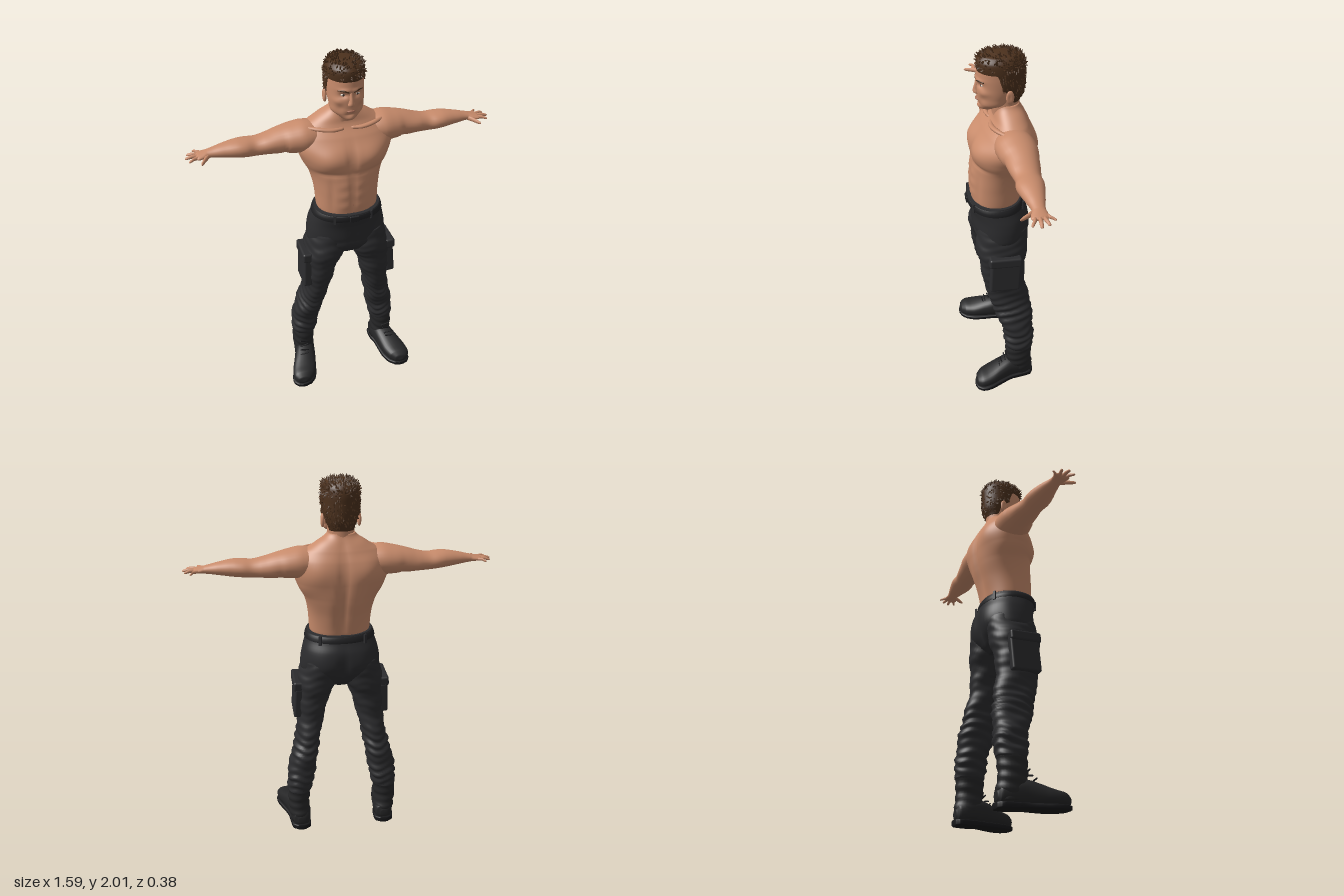
import * as THREE from 'three';
import { mergeGeometries } from 'three/addons/utils/BufferGeometryUtils.js';
import { RoundedBoxGeometry } from 'three/addons/geometries/RoundedBoxGeometry.js';

const mat = (name, color) => Object.assign(new THREE.MeshStandardMaterial({ color }), { name });

// Smooth interpolation through a list of equal-length number rows
function spline(rows, t) {
  const i = Math.min(Math.floor(t), rows.length - 2), f = t - i;
  const at = k => rows[Math.max(0, Math.min(rows.length - 1, k))];
  const [a, b, c, d] = [at(i - 1), at(i), at(i + 1), at(i + 2)];
  return b.map((v, k) => k === 0 ? v + (c[0] - v) * f : 0.5 * (2 * v + (c[k] - a[k]) * f
    + (2 * a[k] - 5 * v + 4 * c[k] - d[k]) * f * f + (3 * v - a[k] - 3 * c[k] + d[k]) * f * f * f));
}

// Loft of superellipse sections along an axis. Rows: [t, centreU, centreV, radiusU, radiusV]
// Axis y uses (u,v) = (x,z), axis x uses (z,y), axis z uses (y,x)
function loft(axis, rows, { seg = 24, sub = 5, n = 2 } = {}) {
  const put = { y: (t, u, v) => [u, t, v], x: (t, u, v) => [t, v, u], z: (t, u, v) => [v, u, t] }[axis];
  const pos = [], idx = [], count = (rows.length - 1) * sub;
  const pw = v => Math.sign(v) * Math.abs(v) ** (2 / n);
  for (let r = 0; r <= count; r++) {
    const [t, cu, cv, ru, rv] = spline(rows, r / sub);
    for (let j = 0; j < seg; j++) {
      const a = j / seg * Math.PI * 2;
      pos.push(...put(t, cu + Math.max(ru, 0.0005) * pw(Math.cos(a)), cv + Math.max(rv, 0.0005) * pw(Math.sin(a))));
    }
  }
  for (let r = 0; r < count; r++) for (let j = 0; j < seg; j++) {
    const k = (j + 1) % seg, a = r * seg + j, b = r * seg + k;
    idx.push(a, a + seg, b, b, a + seg, b + seg);
  }
  const c0 = pos.length / 3, last = rows[rows.length - 1], top = count * seg;
  pos.push(...put(...rows[0].slice(0, 3)), ...put(...last.slice(0, 3)));
  for (let j = 0; j < seg; j++) {
    const k = (j + 1) % seg;
    idx.push(c0, j, k, c0 + 1, top + k, top + j);
  }
  const g = new THREE.BufferGeometry();
  g.setAttribute('position', new THREE.Float32BufferAttribute(pos, 3));
  g.setIndex(idx);
  g.computeVertexNormals();
  return g;
}

// Push vertices along their normals by amount(x, y, z)
function sculpt(g, amount) {
  const p = g.attributes.position, m = g.attributes.normal;
  for (let i = 0; i < p.count; i++) {
    const d = amount(p.getX(i), p.getY(i), p.getZ(i));
    p.setXYZ(i, p.getX(i) + m.getX(i) * d, p.getY(i) + m.getY(i) * d, p.getZ(i) + m.getZ(i) * d);
  }
  g.computeVertexNormals();
  return g;
}
// Symmetric soft bumps: [x, y, z, rx, ry, rz, height]
const bumps = list => (x, y, z) => list.reduce((s, [a, b, c, ra, rb, rc, h]) =>
  s + h * Math.exp(-(((Math.abs(x) - a) / ra) ** 2) - ((y - b) / rb) ** 2 - ((z - c) / rc) ** 2), 0);

function mirrored(g) {
  const m = g.clone(), ix = m.index.array;
  for (let i = 0; i < ix.length; i += 3) [ix[i], ix[i + 1]] = [ix[i + 1], ix[i]];
  return m.scale(-1, 1, 1);
}
const ball = (x, y, z, rx, ry, rz) => new THREE.SphereGeometry(1, 20, 14).scale(rx, ry, rz).translate(x, y, z);

export function createModel() {
  const group = new THREE.Group();
  const skin = mat('skin', 0xc98c6c), hair = mat('hair', 0x4c311d), cloth = mat('trouserCloth', 0x2c2c2e),
    boot = mat('bootLeather', 0x262627), sole = mat('soleRubber', 0x18181a), belt = mat('belt', 0x222224),
    lip = mat('lips', 0xb0735c), white = mat('eyeWhite', 0xcfc4b8), dark = mat('iris', 0x2e2018);
  const add = (name, g, m) => {
    const mesh = new THREE.Mesh(g, m);
    mesh.name = name;
    group.add(mesh);
  };
  const pair = (name, g, m) => { add(name + 'Left', g, m); add(name + 'Right', mirrored(g), m); };

  // Torso with chest, abdomen and back muscles
  add('torso', sculpt(loft('y', [
    [1.16, 0, .01, .155, .125], [1.2, 0, .01, .163, .132], [1.3, 0, 0, .17, .143], [1.4, 0, -.02, .19, .155],
    [1.48, 0, -.027, .228, .16], [1.54, 0, -.035, .25, .15], [1.6, 0, -.05, .24, .122],
    [1.65, 0, -.06, .185, .09], [1.69, 0, -.055, .11, .072], [1.73, 0, -.05, .07, .06]],
  { seg: 72, sub: 8, n: 2.2 }), bumps([
    [.1, 1.5, .1, .075, .05, .08, .018], [.1, 1.425, .12, .09, .014, .08, -.008], [0, 1.5, .14, .014, .1, .06, -.01],
    [0, 1.3, .14, .01, .1, .05, -.006], [.045, 1.36, .14, .03, .022, .05, .004], [.045, 1.3, .14, .03, .022, .05, .004],
    [.045, 1.24, .14, .03, .022, .05, .004], [.105, 1.3, .1, .014, .1, .06, -.005],
    [0, 1.42, -.17, .022, .2, .09, -.02], [.12, 1.55, -.16, .07, .07, .07, .014], [.06, 1.3, -.14, .04, .12, .06, .006],
    [.2, 1.45, -.08, .05, .07, .08, .008], [.08, 1.675, -.07, .06, .03, .06, .012]])), skin);
  add('navel', ball(0, 1.245, .136, .005, .008, .004), lip);
  add('neck', sculpt(loft('y', [[1.62, 0, -.06, .085, .08], [1.68, 0, -.05, .073, .073], [1.72, 0, -.043, .069, .07],
    [1.82, 0, -.05, .068, .07]], { seg: 32 }), bumps([[.03, 1.68, .02, .012, .05, .04, .005], [0, 1.715, .03, .012, .012, .03, .006]])), skin);
  pair('collarbone', loft('x', [[.02, .035, 1.635, .008, .008], [.08, .04, 1.637, .014, .01], [.15, .02, 1.643, .014, .01],
    [.22, -.02, 1.645, .008, .006]], { seg: 10 }), skin);

  // Arms: shoulder, upper arm, forearm, palm
  pair('arm', sculpt(loft('x', [
    [.1, -.05, 1.58, .08, .065], [.2, -.05, 1.583, .1, .08], [.27, -.055, 1.58, .095, .073], [.33, -.058, 1.575, .08, .064],
    [.4, -.057, 1.567, .067, .052], [.45, -.055, 1.563, .062, .047], [.5, -.052, 1.566, .066, .046], [.55, -.05, 1.568, .059, .043],
    [.62, -.048, 1.567, .044, .032], [.68, -.046, 1.564, .031, .021], [.705, -.042, 1.562, .037, .016],
    [.735, -.04, 1.56, .041, .012], [.745, -.04, 1.56, .03, .006]], { seg: 28 }),
  (x, y, z) => bumps([[.38, 1.58, .0, .05, .03, .03, .008], [.38, 1.55, -.12, .06, .03, .04, .006],
    [.31, 1.54, -.02, .012, .06, .12, -.006], [.46, 1.57, -.01, .03, .03, .03, -.004], [.53, 1.58, .0, .05, .03, .03, .005]])(x, y, z)), skin);
  // Fingers: [base x, base z, tip x, tip z, radius]
  [[.725, -.07, .758, -.1, .008], [.735, -.055, .787, -.068, .009], [.735, -.037, .797, -.033, .0095],
    [.732, -.02, .782, .003, .009]].forEach(([x, z, X, Z, r], i) => pair('finger' + (i + 1), loft('x', [
    [x - .015, z, 1.56, r, r], [x + (X - x) * .45, z + (Z - z) * .45, 1.562, r, r * .95],
    [X - .006, Z, 1.557, r * .8, r * .65], [X, Z, 1.556, .002, .002]], { seg: 10 }), skin));
  pair('thumb', loft('x', [[.675, -.03, 1.56, .012, .012], [.7, -.003, 1.558, .017, .012], [.715, .022, 1.556, .015, .01],
    [.724, .037, 1.555, .01, .007], [.727, .043, 1.555, .002, .002]], { seg: 12 }), skin);

  // Head and face
  add('head', sculpt(loft('y', [
    [1.7, 0, .045, .015, .02], [1.71, 0, .043, .04, .043], [1.74, 0, .022, .074, .07], [1.78, 0, .002, .086, .097],
    [1.83, 0, -.015, .091, .115], [1.88, 0, -.02, .092, .119], [1.93, 0, -.02, .088, .112], [1.965, 0, -.02, .068, .085],
    [1.98, 0, -.02, .01, .01]], { seg: 72, sub: 10 }), bumps([
    [.035, 1.838, .1, .02, .013, .05, -.012], [.03, 1.864, .1, .03, .009, .04, .006], [.058, 1.805, .07, .02, .016, .04, .005],
    [.05, 1.77, .08, .018, .02, .04, -.005], [0, 1.718, .09, .022, .012, .04, .007], [0, 1.757, .1, .024, .011, .04, .004],
    [0, 1.737, .1, .02, .005, .04, -.004], [.07, 1.745, .0, .02, .02, .04, .006]])), skin);
  add('nose', loft('y', [[1.782, 0, .095, .007, .007], [1.79, 0, .098, .018, .017], [1.81, 0, .097, .012, .018],
    [1.84, 0, .091, .009, .015], [1.866, 0, .086, .01, .012]], { seg: 18 }), skin);
  add('mouth', loft('x', [[-.026, .089, 1.756, .002, .002], [-.01, .1, 1.758, .004, .005], [.01, .1, 1.758, .004, .005],
    [.026, .089, 1.756, .002, .002]], { seg: 10 }), lip);
  pair('eye', ball(.035, 1.839, .074, .014, .0075, .011), white);
  pair('iris', ball(.035, 1.839, .081, .0058, .0058, .006), dark);
  pair('eyebrow', loft('x', [[.012, .1, 1.857, .003, .004], [.035, .0945, 1.864, .005, .005], [.06, .075, 1.861, .003, .003]],
    { seg: 8 }), hair);
  pair('ear', sculpt(ball(.093, 1.79, -.047, .011, .036, .02), bumps([[.104, 1.792, -.045, .01, .018, .009, -.005]])), skin);

  // Hair shell trimmed along the hairline
  const line = z => 1.745 + .06 * THREE.MathUtils.smoothstep(z, -.07, -.05) + .1 * THREE.MathUtils.smoothstep(z, -.02, .012);
  const shell = loft('y', [[1.745, 0, -.06, .064, .054], [1.79, 0, -.05, .08, .083], [1.83, 0, -.035, .094, .103],
    [1.88, 0, -.025, .097, .114], [1.92, 0, -.02, .097, .119], [1.955, 0, -.017, .091, .113], [1.978, 0, -.018, .07, .09],
    [1.988, 0, -.02, .03, .04]], { seg: 64, sub: 8 });
  const sp = shell.attributes.position, sn = shell.attributes.normal;
  // Short tufts scattered over the shell
  let seed = 7;
  const rnd = () => (seed = (seed * 16807) % 2147483647) / 2147483647;
  const tufts = [], up = new THREE.Vector3(0, 1, 0);
  while (tufts.length < 520) {
    const i = Math.floor(rnd() * (sp.count - 2));
    const p = new THREE.Vector3().fromBufferAttribute(sp, i), d = new THREE.Vector3().fromBufferAttribute(sn, i);
    if (p.y < line(p.z) + .012) continue;
    const high = THREE.MathUtils.smoothstep(p.y, 1.88, 1.97);
    d.multiplyScalar(.5 + .3 * high).add(new THREE.Vector3((rnd() - .5) * .8, high * .5 - .6 * (1 - high), (rnd() - .5) * .6 + .5 * high)).normalize();
    const h = .012 + .016 * high * rnd();
    tufts.push(new THREE.ConeGeometry(.006, h, 5).translate(0, h * .3, 0)
      .applyQuaternion(new THREE.Quaternion().setFromUnitVectors(up, d)).translate(p.x, Math.min(p.y, 1.986), p.z));
  }
  for (let i = 0; i < sp.count; i++) sp.setY(i, Math.max(sp.getY(i), line(sp.getZ(i))));
  shell.computeVertexNormals();
  add('hair', shell, hair);
  add('hairTufts', mergeGeometries(tufts), hair);

  // Trousers: seat, legs with folds, pockets and belt
  add('trouserSeat', sculpt(loft('y', [[.885, 0, -.01, .07, .07], [.92, 0, -.005, .15, .11], [.97, 0, -.005, .212, .138],
    [1.03, 0, -.01, .216, .148], [1.1, 0, -.008, .203, .15], [1.16, 0, .01, .184, .146], [1.195, 0, .015, .175, .143]],
  { seg: 56, n: 2.2 }), bumps([[.1, 1.02, -.15, .07, .07, .06, .012], [0, 1.0, -.16, .015, .09, .05, -.014],
    [0, 1.0, .14, .012, .1, .05, -.004], [.12, 1.0, .13, .12, .012, .06, -.005]])), cloth);
  const folds = (x, y, z) => {
    const zone = Math.exp(-(((y - .52) / .07) ** 2)) + Math.exp(-(((y - .33) / .06) ** 2)) + .25;
    return .0045 * zone * Math.sin(y * 130 + z * 28 + 2 * Math.sin(x * 40)) + .003 * Math.sin(y * 47 - z * 30);
  };
  pair('trouserLeg', sculpt(loft('y', [[.235, .245, -.083, .055, .07], [.25, .245, -.085, .067, .08], [.3, .238, -.083, .073, .083],
    [.4, .225, -.075, .076, .09], [.5, .203, -.054, .07, .106], [.6, .183, -.032, .068, .111], [.7, .167, -.008, .077, .115],
    [.8, .154, -.003, .09, .121], [.9, .13, -.003, .108, .136], [.97, .113, -.006, .108, .14], [1.04, .1, -.012, .1, .13]],
  { seg: 40, sub: 12, n: 2.2 }), folds), cloth);
  const pocket = (h, w, d, x, y) => new RoundedBoxGeometry(d, h, w, 3, .012).rotateZ(.06).rotateX(-.06).translate(x, y, 0).toNonIndexed();
  const indexed = g => g.setIndex([...Array(g.attributes.position.count).keys()]);
  pair('cargoPocket', indexed(pocket(.18, .165, .05, .236, .79)), cloth);
  pair('pocketFlap', indexed(pocket(.055, .175, .054, .237, .892)), cloth);
  add('belt', loft('y', [[1.15, 0, .01, .18, .142], [1.154, 0, .01, .191, .151], [1.185, 0, .014, .182, .148],
    [1.189, 0, .014, .172, .14]], { seg: 56, sub: 2, n: 2.2 }), belt);
  add('beltBuckle', new RoundedBoxGeometry(.05, .034, .012, 2, .004).translate(0, 1.17, .163), belt);
  [[.1, .142, .5], [.12, -.118, 2.6]].forEach(([x, z, r], i) =>
    pair('beltLoop' + (i + 1), new THREE.BoxGeometry(.014, .05, .01).rotateY(r).translate(x, 1.168, z), cloth));

  // Boots
  pair('bootShaft', sculpt(loft('y', [[.04, .246, -.09, .055, .07], [.1, .248, -.085, .06, .076], [.15, .253, -.08, .059, .074],
    [.2, .25, -.08, .062, .076], [.26, .246, -.083, .062, .077], [.275, .245, -.083, .055, .07]], { seg: 28 }),
  (x, y, z) => .003 * Math.sin(y * 120 + z * 25)), boot);
  pair('bootFoot', loft('z', [[-.163, .06, .243, .02, .02], [-.15, .065, .243, .045, .045], [-.1, .075, .245, .058, .058],
    [-.03, .083, .255, .063, .061], [.03, .075, .27, .056, .066], [.1, .062, .29, .043, .071], [.15, .056, .302, .037, .062],
    [.178, .05, .307, .024, .038], [.186, .045, .308, .004, .008]], { seg: 28, n: 2.4 }), boot);
  pair('bootSole', loft('z', [[-.168, .016, .243, .015, .025], [-.15, .016, .243, .016, .052], [-.08, .016, .248, .016, .058],
    [-.03, .018, .258, .014, .056], [.03, .017, .272, .014, .065], [.1, .016, .29, .014, .074], [.15, .016, .302, .013, .066],
    [.18, .017, .307, .012, .042], [.19, .018, .309, .01, .015]], { seg: 28, n: 5 }), sole);
  for (let i = 0; i < 5; i++) pair('lace' + (i + 1),
    new THREE.CapsuleGeometry(.004, .045, 3, 8).rotateZ(Math.PI / 2 + (i % 2 ? .2 : -.2))
      .translate(.272 - i * .004, .128 + i * .02, .04 - i * .012 - (i > 1 ? .008 : 0)), sole);
  return group;
}
